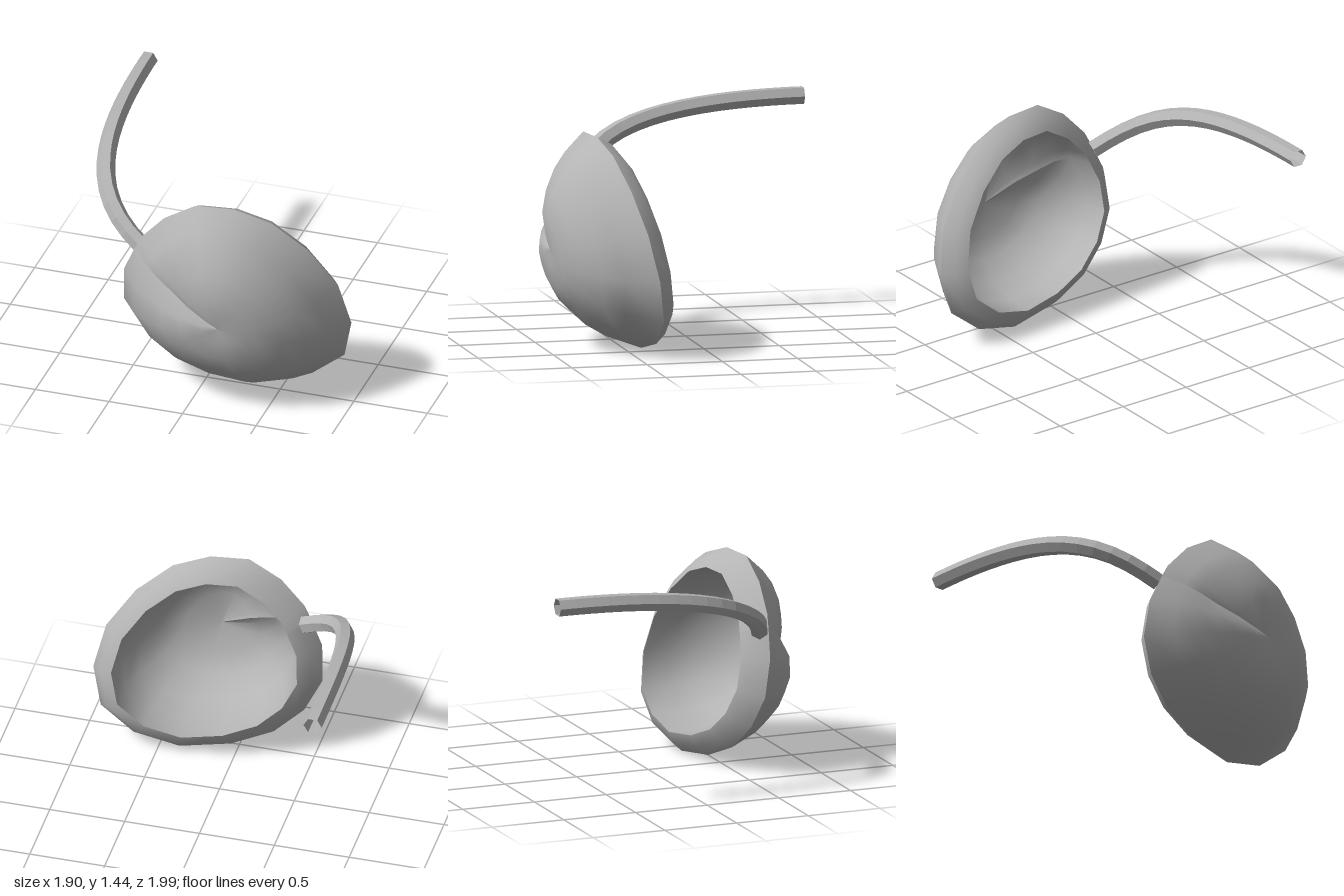
import * as THREE from 'three';

// Widest outline of the bowl, clockwise from the seam (x, y)
const OUTLINE = [
  [-0.43, 0.99], [-0.39, 1.07], [-0.23, 1.245], [-0.02, 1.37], [0.23, 1.37], [0.47, 1.285],
  [0.70, 1.09], [0.88, 0.825], [0.95, 0.525], [0.89, 0.255], [0.67, 0.08], [0.37, 0.005],
  [0.04, 0.05], [-0.23, 0.16], [-0.42, 0.33], [-0.53, 0.55], [-0.515, 0.80], [-0.43, 0.99],
];

// Tilted plane in which the outline lies
const planeZ = (x, y) => 0.432 - 0.131 * x + 0.175 * y;

// How strongly each column sinks into the fold: gently above the seam, steeply below
const FOLD = OUTLINE.map((_, j) => ({ 0: 1, 1: 0.75, 2: 0.35, 16: 0.2, 17: 1 }[j] ?? 0));

// One cross-section: outline scaled about a drifting centre, lifted off the plane;
// the dome is a little flatter towards its top and its right side
function ring(scale, lift, sink = 0) {
  const cx = 0.21 + 0.04 * lift, cy = 0.69 - 0.1 * lift;
  return OUTLINE.map(([x, y], j) => {
    const px = cx + (x - 0.21) * scale, py = cy + (y - 0.69) * scale;
    const tilt = Math.max(lift, 0) * (0.18 * (py - 0.65) - 0.22 * Math.min(px - 0.25, 0.08));
    return [px, py, planeZ(px, py) + lift - tilt - sink * FOLD[j]];
  });
}

// Skin a list of cross-sections
function loft(rings) {
  const n = rings[0].length, index = [];
  for (let i = 0; i < rings.length - 1; i++) {
    for (let j = 0; j < n - 1; j++) {
      const a = i * n + j, b = a + 1, c = a + n, d = c + 1;
      index.push(a, c, b, b, c, d);
    }
  }
  const g = new THREE.BufferGeometry();
  g.setAttribute('position', new THREE.Float32BufferAttribute(rings.flat(2), 3));
  g.setIndex(index);
  g.computeVertexNormals();
  return g;
}

export function createModel() {
  const group = new THREE.Group();
  const grey = new THREE.MeshStandardMaterial({ color: 0xb4b4b4, side: THREE.DoubleSide });
  grey.name = 'plainGrey';
  const add = (name, geometry) => {
    const mesh = new THREE.Mesh(geometry, grey);
    mesh.name = name;
    group.add(mesh);
  };

  // Domed front with a fold running from the stem to the middle
  add('bowl', loft([
    ring(1, 0), ring(0.85, 0.19, 0.03), ring(0.72, 0.30, 0.06),
    ring(0.54, 0.395, 0.085), ring(0.35, 0.45, 0.07), ring(0.15, 0.455, 0.03), ring(0, 0.445),
  ]));

  // Rounded rim turning inwards around the open back
  add('rim', loft([ring(0.81, -0.13), ring(0.92, -0.085), ring(1, 0)]));

  // Hollow inside, starting at the edge of the opening
  add('lining', loft([
    ring(0.81, -0.13), ring(0.78, 0.06), ring(0.69, 0.21, 0.03),
    ring(0.52, 0.33, 0.06), ring(0.33, 0.39, 0.05), ring(0, 0.40),
  ]));

  // Six-sided curved stem, open at the end, with crisp long edges
  const path = new THREE.CubicBezierCurve3(
    new THREE.Vector3(-0.89, 1.393, -1), new THREE.Vector3(-0.89, 1.393, 0.1),
    new THREE.Vector3(-0.80, 1.20, 0.47), new THREE.Vector3(-0.41, 0.97, 0.605),
  );
  const tube = new THREE.TubeGeometry(path, 16, 0.061, 6, false).toNonIndexed();
  tube.computeVertexNormals();
  add('stem', tube);

  return group;
}
